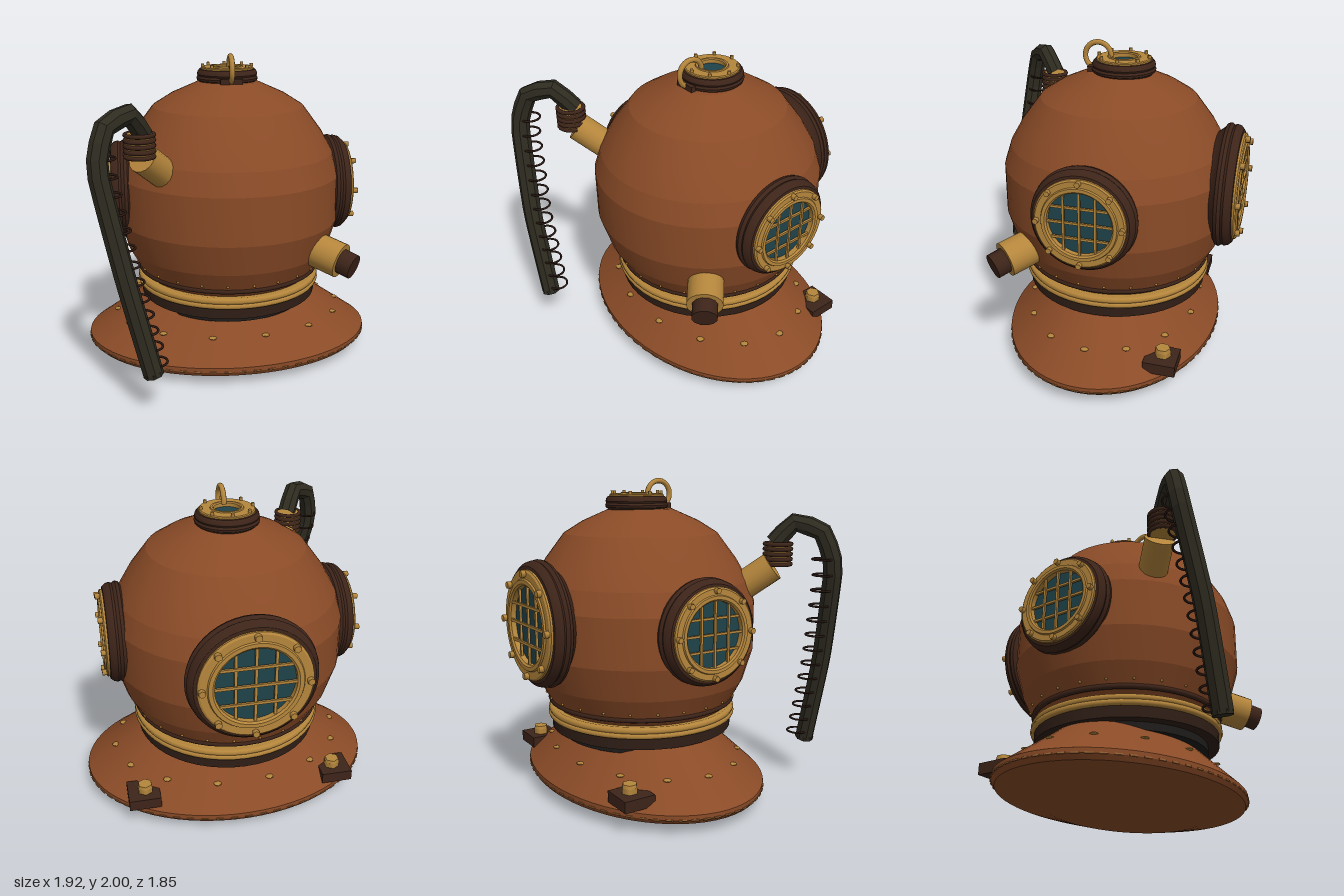
import * as THREE from 'three';
import { toCreasedNormals } from 'three/addons/utils/BufferGeometryUtils.js';

const mat = (color, extra = {}) => new THREE.MeshStandardMaterial({ color, ...extra });
const V = (x, y, z) => new THREE.Vector3(x, y, z);
const CZ = -0.1; // z of the helmet axis

export function createModel() {
  const root = new THREE.Group();
  const copper = mat(0x8a4b27, { side: THREE.DoubleSide });
  const brass = mat(0xb5863c);
  const darkBrown = mat(0x3d2419);
  const black = mat(0x1e1c1a);
  const rubber = mat(0x2e2b20, { flatShading: true });
  const glass = mat(0x1f434a);

  const add = (parent, name, geo, material, x = 0, y = 0, z = 0) => {
    const m = new THREE.Mesh(geo, material);
    m.name = name;
    m.position.set(x, y, z);
    parent.add(m);
    return m;
  };
  const lathe = (pts, crease = 0.5, seg = 48) =>
    toCreasedNormals(new THREE.LatheGeometry(pts.map(p => new THREE.Vector2(...p)), seg), crease);
  const rod = (name, a, b, r, material, seg = 16) => {
    const m = add(root, name, new THREE.CylinderGeometry(r, r, a.distanceTo(b), seg), material);
    m.position.copy(a).lerp(b, 0.5);
    m.quaternion.setFromUnitVectors(V(0, 1, 0), b.clone().sub(a).normalize());
    return m;
  };
  const flatRing = (parent, name, R, r, material, y, z = 0, x = 0, seg = 48) => {
    const m = add(parent, name, new THREE.TorusGeometry(R, r, 8, seg), material, x, y, z);
    m.rotation.x = Math.PI / 2;
    return m;
  };

  // Banded dome
  add(root, 'dome', lathe([[0.56, 0.55], [0.6, 0.6], [0.67, 0.73], [0.73, 0.93], [0.73, 1.23], [0.685, 1.37],
    [0.61, 1.5], [0.49, 1.66], [0.37, 1.735], [0.2, 1.81], [0, 1.83]], 0.17), copper, 0, 0, CZ);

  // Neck rings
  flatRing(root, 'domeHem', 0.595, 0.018, darkBrown, 0.597, CZ);
  add(root, 'neckBrassBand', new THREE.CylinderGeometry(0.59, 0.59, 0.07, 48), brass, 0, 0.515, CZ);
  flatRing(root, 'upperBrassRing', 0.59, 0.022, brass, 0.53, CZ);
  flatRing(root, 'lowerBrassRing', 0.595, 0.02, brass, 0.498, CZ);
  add(root, 'neckBand', new THREE.CylinderGeometry(0.59, 0.59, 0.08, 48), mat(0x2f1e16), 0, 0.45, CZ);
  add(root, 'neckGasket', new THREE.CylinderGeometry(0.52, 0.52, 0.06, 48), black, 0, 0.39, CZ);
  for (let i = 0; i < 24; i++) {
    const a = (i + 0.5) / 24 * Math.PI * 2;
    add(root, 'hemRivet', new THREE.SphereGeometry(0.009, 6, 4), brass,
      Math.sin(a) * 0.622, 0.635, CZ + Math.cos(a) * 0.622);
  }

  // Elliptical shoulder collar with rivets and a stitched rim
  const collar = add(root, 'collar', lathe([[0, 0], [0.63, 0], [0.975, 0.07], [1, 0.1], [1, 0.13], [0.655, 0.36],
    [0.57, 0.42]], 0.3, 64), copper, 0, 0, CZ);
  collar.scale.set(0.955, 1, 0.7);
  const rivet = new THREE.SphereGeometry(0.026, 8, 6).scale(1, 0.3, 1);
  for (let i = 0; i < 14; i++) {
    const a = (i + 0.5) / 14 * Math.PI * 2;
    add(root, 'collarRivet', rivet, brass, Math.sin(a) * 0.76, 0.268, CZ + Math.cos(a) * 0.56);
  }
  for (let i = 0; i < 64; i++) {
    const a = i / 64 * Math.PI * 2;
    const s = add(root, 'rimStitch', new THREE.BoxGeometry(0.045, 0.009, 0.012), mat(0x9a6434),
      Math.sin(a) * 0.953, 0.102, CZ + Math.cos(a) * 0.698);
    s.rotation.y = Math.atan2(Math.sin(a) / 0.955, Math.cos(a) / 0.7);
  }

  // Lugs with hexagonal bolts on the rear shoulders
  for (const s of [-1, 1]) {
    add(root, 'collarLug', new THREE.BoxGeometry(0.2, 0.07, 0.2), darkBrown, s * 0.63, 0.187, -0.555);
    add(root, 'lugNut', new THREE.CylinderGeometry(0.05, 0.05, 0.035, 6), brass, s * 0.62, 0.238, -0.56);
    add(root, 'lugBoltHead', new THREE.CylinderGeometry(0.045, 0.05, 0.022, 6), brass, s * 0.62, 0.266, -0.56);
  }

  // Porthole built along +y: dark frame, brass bezel, bolts, glass, optional grille
  const porthole = (name, radial, depth, glassR, grille) => {
    const g = new THREE.Group();
    g.name = name;
    g.scale.set(radial, depth, radial);
    add(g, 'frame', lathe([[0.27, -0.04], [0.295, 0], [0.315, 0.015], [0.32, 0.035], [0.308, 0.055], [0.315, 0.07],
      [0.308, 0.095], [0.29, 0.115], [0.26, 0.12], [0.24, 0.12]], 0.6), darkBrown);
    add(g, 'bezel', lathe([[0.275, 0.11], [0.275, 0.13], [0.265, 0.138], [glassR + 0.035, 0.138],
      [glassR + 0.03, 0.148], [glassR + 0.01, 0.148], [glassR, 0.138], [glassR, 0.09]], 0.5), brass);
    add(g, 'glass', new THREE.CylinderGeometry(glassR + 0.005, glassR + 0.005, 0.03, 32), glass, 0, 0.09, 0);
    for (let i = 0; i < 8; i++) {
      const a = i / 8 * Math.PI * 2;
      add(g, 'bolt', new THREE.CylinderGeometry(0.018, 0.018, 0.03, 6), brass,
        Math.sin(a) * 0.255, 0.15, Math.cos(a) * 0.255);
    }
    if (grille) for (const o of [-0.095, 0, 0.095]) {
      const len = 2 * Math.sqrt(glassR * glassR - o * o);
      add(g, 'grilleBar', new THREE.BoxGeometry(0.014, 0.014, len), brass, o, 0.125, 0);
      add(g, 'grilleCrossBar', new THREE.BoxGeometry(len, 0.014, 0.014), brass, 0, 0.132, o);
    }
    root.add(g);
    return g;
  };
  for (const s of [-1, 1]) {
    const p = porthole(s > 0 ? 'leftPorthole' : 'rightPorthole', 1, 1, 0.195, true);
    p.position.set(s * 0.65, 1.125, -0.085);
    p.rotation.z = -s * Math.PI / 2;
  }
  const back = porthole('backPorthole', 1.22, 1, 0.195, true);
  back.position.set(0, 1.135, -0.765);
  back.rotation.x = -Math.PI / 2;
  porthole('topPorthole', 0.62, 0.68, 0.13, false).position.set(0, 1.81, -0.13);

  // Lifting hook over the top port
  const hook = add(root, 'liftingHook', new THREE.TorusGeometry(0.083, 0.017, 8, 24, Math.PI * 1.45), brass, 0, 1.9, 0.035);
  hook.rotation.y = Math.PI / 2;
  add(root, 'hookBase', new THREE.BoxGeometry(0.14, 0.05, 0.04), darkBrown, 0, 1.82, 0.065);

  // Exhaust valve, front left
  rod('exhaustValve', V(0.47, 0.8, 0.29), V(0.645, 0.745, 0.445), 0.112, brass, 20);
  rod('exhaustCap', V(0.63, 0.75, 0.43), V(0.71, 0.72, 0.5), 0.08, darkBrown, 12);

  // Air inlet, front right, with ribbed coupling
  rod('airInlet', V(-0.41, 1.29, 0.34), V(-0.575, 1.46, 0.51), 0.092, brass, 16);
  add(root, 'couplingCore', new THREE.CylinderGeometry(0.082, 0.082, 0.14, 16), brass, -0.588, 1.535, 0.54);
  for (let i = 0; i < 5; i++)
    flatRing(root, 'couplingRib', 0.082, 0.013, darkBrown, 1.475 + i * 0.031, 0.54, -0.588, 20);

  // Hose
  const path = new THREE.CatmullRomCurve3([V(-0.57, 1.6, 0.52), V(-0.645, 1.73, 0.62), V(-0.775, 1.675, 0.73),
    V(-0.82, 1.46, 0.79), V(-0.695, 0.86, 0.85), V(-0.558, 0.275, 0.86)], false, 'catmullrom', 0.2);
  add(root, 'airHose', new THREE.TubeGeometry(path, 20, 0.06, 8), rubber);
  rod('hoseEnd', V(-0.562, 0.29, 0.86), V(-0.556, 0.265, 0.86), 0.06, rubber, 8);

  // Wire coils along the hanging length of the hose
  const samples = path.getSpacedPoints(200);
  for (let i = 0; i < 13; i++) {
    const y = 1.51 - i * 0.099;
    const p = samples.reduce((b, q) => (Math.abs(q.y - y) < Math.abs(b.y - y) ? q : b));
    flatRing(root, 'hoseCoil', 0.065, 0.007, mat(0x2a1812), y, p.z - 0.05, p.x + 0.03, 20);
  }
  return root;
}
